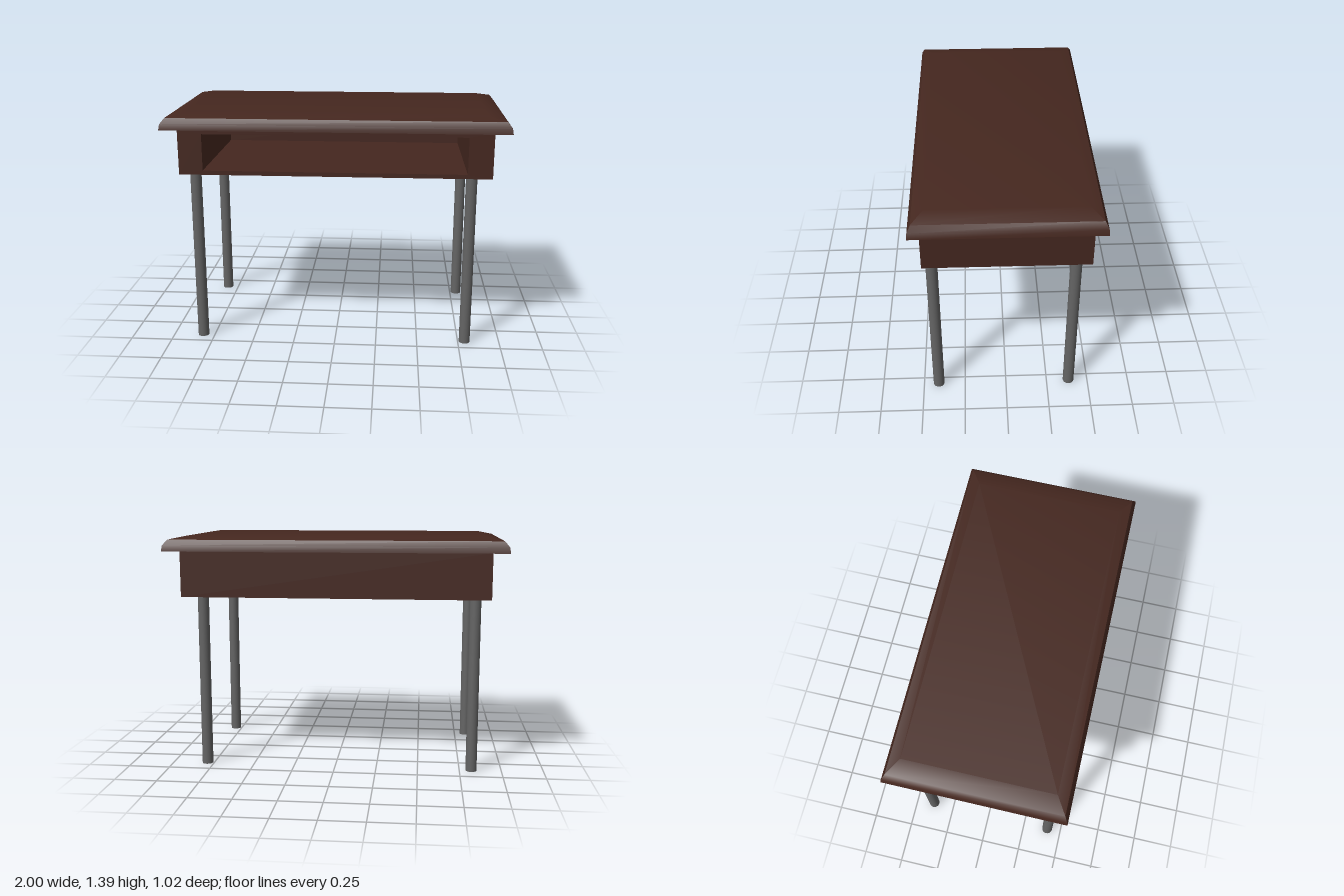
import * as THREE from 'three';
import { toCreasedNormals } from 'three/addons/utils/BufferGeometryUtils.js';

const wood = new THREE.MeshStandardMaterial({ color: 0x45271f });
const metal = new THREE.MeshStandardMaterial({ color: 0x646464 });

// Rectangular slab lofted through [halfWidth, y, halfDepth] rings, capped at both ends
function loftRings(rings) {
  const positions = [], index = [];
  for (const [w, y, d] of rings) {
    positions.push(-w, y, d, w, y, d, w, y, -d, -w, y, -d);
  }
  for (let r = 0; r < rings.length - 1; r++) {
    for (let i = 0; i < 4; i++) {
      const a = r * 4 + i, b = r * 4 + (i + 1) % 4;
      index.push(a, b, b + 4, a, b + 4, a + 4);
    }
  }
  const t = (rings.length - 1) * 4;
  index.push(t, t + 1, t + 2, t, t + 2, t + 3, 0, 2, 1, 0, 3, 2);
  const geometry = new THREE.BufferGeometry();
  geometry.setAttribute('position', new THREE.Float32BufferAttribute(positions, 3));
  geometry.setIndex(index);
  return toCreasedNormals(geometry, 0.75);
}

function rectangle(Type, x0, y0, x1, y1) {
  const path = new Type();
  path.moveTo(x0, y0);
  path.lineTo(x1, y0);
  path.lineTo(x1, y1);
  path.lineTo(x0, y1);
  path.closePath();
  return path;
}

export function createModel() {
  const desk = new THREE.Group();
  desk.name = 'desk';

  const add = (parent, name, geometry, material, x = 0, y = 0, z = 0) => {
    const mesh = new THREE.Mesh(geometry, material);
    mesh.name = name;
    mesh.position.set(x, y, z);
    parent.add(mesh);
  };

  // Table top with a rounded-over edge
  add(desk, 'tableTop', loftRings([
    [1, 1.305, 0.512],
    [0.994, 1.34, 0.508],
    [0.967, 1.373, 0.49],
    [0.87, 1.393, 0.428],
  ]), wood);

  // Storage compartment, open at the front
  const compartment = new THREE.Group();
  compartment.name = 'compartment';
  const frame = rectangle(THREE.Shape, -0.908, 1.035, 0.906, 1.305);
  frame.holes.push(rectangle(THREE.Path, -0.768, 1.06, 0.763, 1.275));
  const backThickness = 0.05;
  add(compartment, 'frame',
    new THREE.ExtrudeGeometry(frame, { depth: 0.912 - backThickness, bevelEnabled: false }),
    wood, 0, 0, -0.456 + backThickness);
  add(compartment, 'backPanel', new THREE.BoxGeometry(1.814, 0.27, backThickness),
    wood, -0.001, 1.17, -0.456 + backThickness / 2);
  desk.add(compartment);

  // Four tubular legs
  const legs = new THREE.Group();
  legs.name = 'legs';
  const legGeometry = new THREE.CylinderGeometry(0.033, 0.033, 1.04, 32);
  for (const [side, x] of [['Right', -0.82], ['Left', 0.79]]) {
    for (const [end, z] of [['front', 0.41], ['back', -0.384]]) {
      add(legs, `${end}${side}Leg`, legGeometry, metal, x, 0.52, z);
    }
  }
  desk.add(legs);

  return desk;
}
